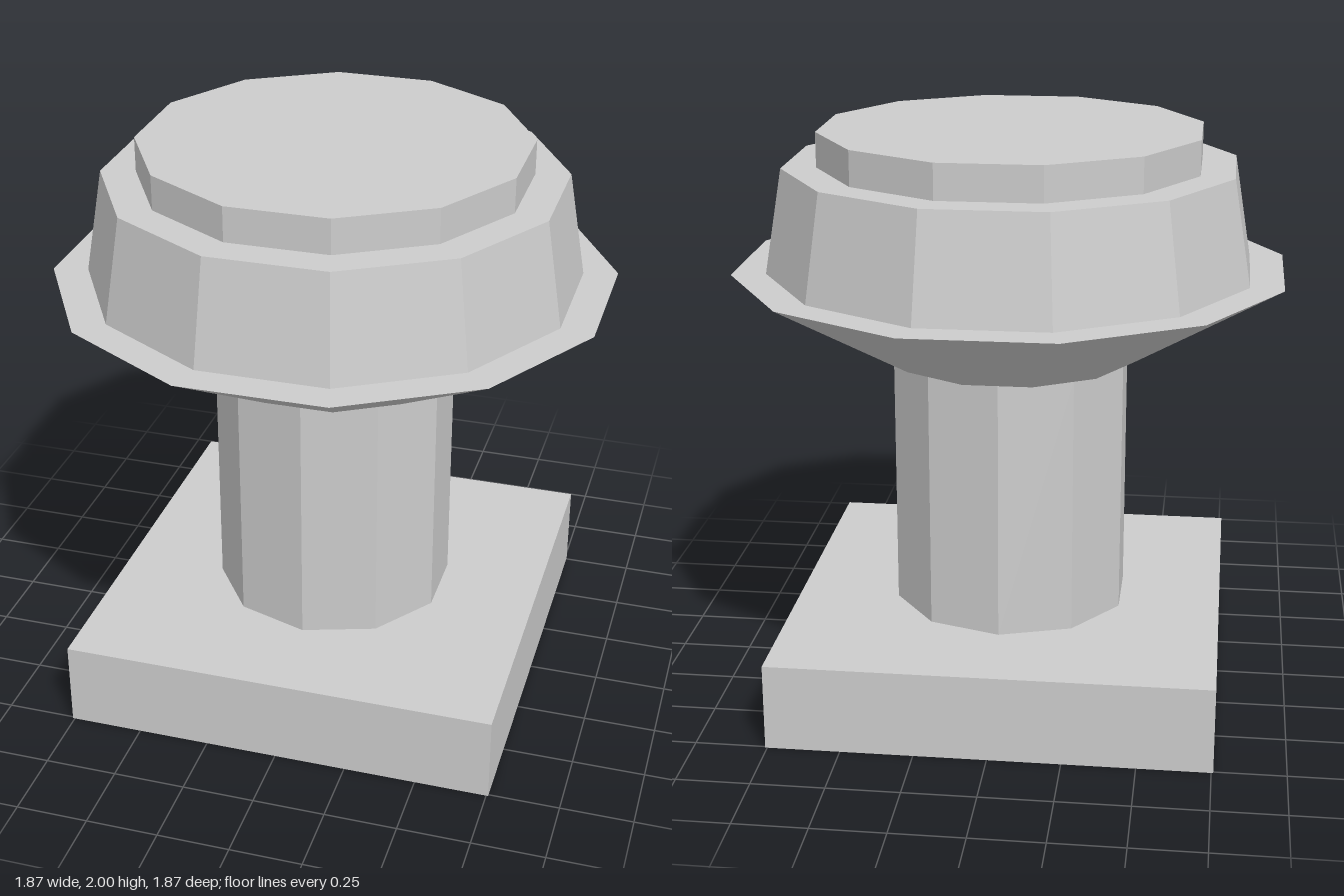
import * as THREE from 'three';

export function createModel() {
  const model = new THREE.Group();
  model.name = 'pedestalKnob';

  const stone = new THREE.MeshStandardMaterial({ color: 0xcccccc, flatShading: true });
  stone.name = 'light grey';

  const add = (name, geometry, y) => {
    const mesh = new THREE.Mesh(geometry, stone);
    mesh.name = name;
    mesh.position.y = y;
    model.add(mesh);
  };

  // Faceted prism or frustum between two heights
  const tier = (name, sides, turn, rBottom, rTop, y0, y1) =>
    add(name, new THREE.CylinderGeometry(rTop, rBottom, y1 - y0, sides, 1, false, turn), (y0 + y1) / 2);

  // Square plinth
  add('base', new THREE.BoxGeometry(1.514, 0.303, 1.514), 0.1515);

  // Ten-sided shaft with a corner facing the front
  tier('column', 10, 0, 0.42, 0.42, 0.303, 1.215);

  // Twelve-sided head with flat faces towards the front and sides
  const turn = Math.PI / 12;
  tier('flare', 12, turn, 0.452, 0.968, 1.215, 1.518);
  tier('drum', 12, turn, 0.849, 0.787, 1.518, 1.88);
  tier('cap', 12, turn, 0.667, 0.667, 1.88, 2);

  return model;
}
